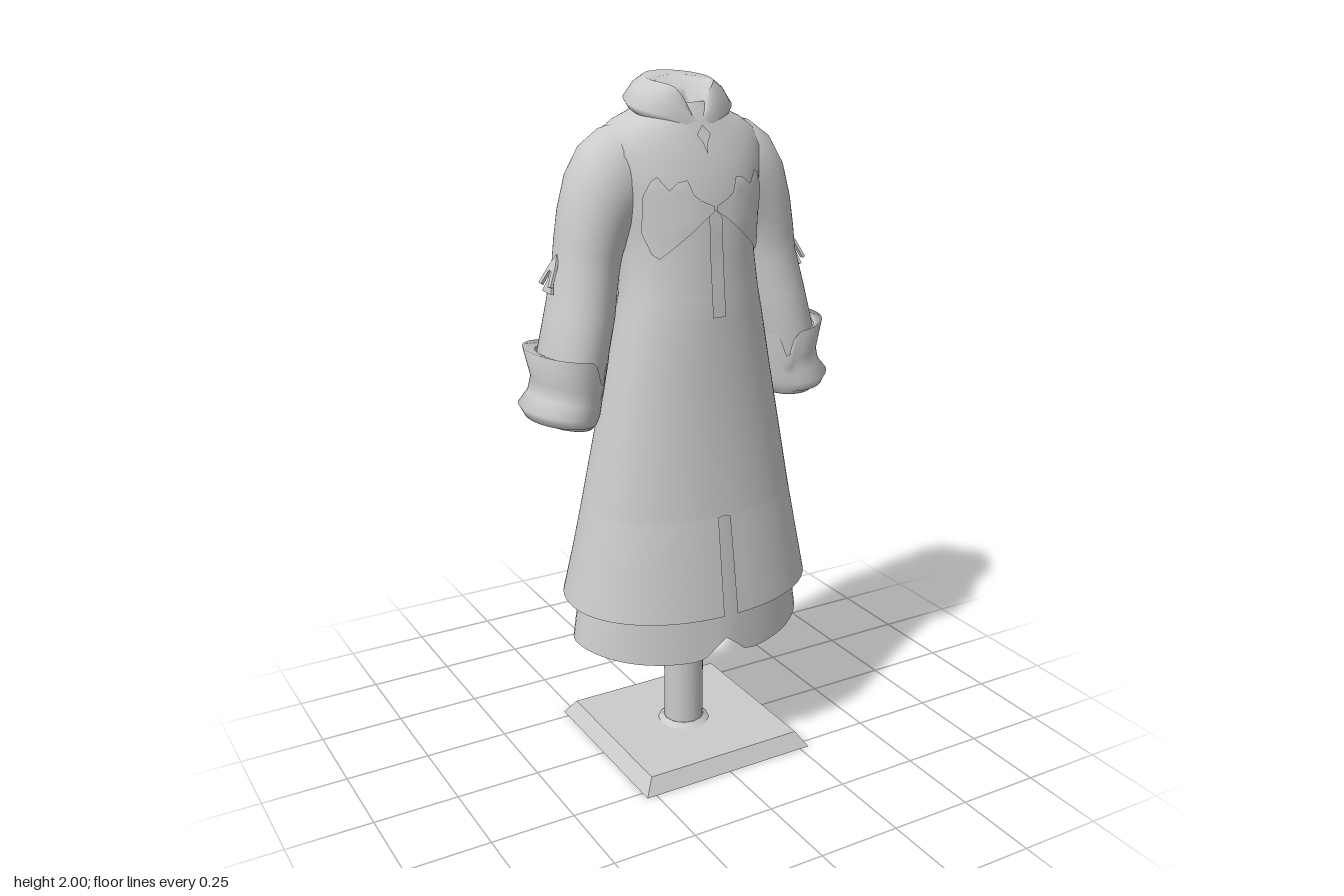
import * as THREE from 'three';
import { mergeVertices } from 'three/addons/utils/BufferGeometryUtils.js';

const material = new THREE.MeshStandardMaterial({ color: 0xcccccc, side: THREE.DoubleSide });
const flatMaterial = new THREE.MeshStandardMaterial({ color: 0xcccccc, flatShading: true });

// Coat cross-sections, bottom to top:
// y, half width, front z, back z, front roundness, back roundness, front gap
const COAT = [
  [0.53, 0.382, 0.274, -0.25, 2.1, 2.1, 0.05],
  [0.67, 0.352, 0.251, -0.222, 2.1, 2.1, 0.05],
  [0.8, 0.326, 0.231, -0.198, 2.1, 2.1, 0.05],
  [0.805, 0.325, 0.23, -0.197, 2.1, 2.1, 0],
  [1.0, 0.288, 0.207, -0.165, 2.1, 2.1, 0],
  [1.2, 0.248, 0.192, -0.14, 2.1, 2.1, 0],
  [1.35, 0.218, 0.187, -0.127, 2.1, 2.1, 0],
  [1.42, 0.204, 0.182, -0.124, 2.1, 2.1, 0],
  [1.52, 0.194, 0.171, -0.13, 2.1, 2.2, 0],
  [1.62, 0.199, 0.165, -0.142, 2.2, 2.5, 0],
  [1.72, 0.222, 0.15, -0.16, 2.2, 2.8, 0],
  [1.8, 0.24, 0.122, -0.17, 2.2, 2.8, 0],
  [1.85, 0.225, 0.1, -0.168, 2.1, 2.6, 0],
  [1.88, 0.185, 0.088, -0.163, 2, 2.3, 0],
  [1.905, 0.13, 0.075, -0.155, 2, 2, 0],
  [1.93, 0.09, 0.06, -0.13, 2, 2, 0],
];

// Skin a grid of rows of points, listed bottom to top
function loft(rows) {
  const n = rows[0].length, pos = rows.flat(2), index = [];
  for (let i = 0; i < rows.length - 1; i++)
    for (let j = 0; j < n - 1; j++) {
      const a = i * n + j, d = a + n;
      index.push(a, a + 1, d + 1, a, d + 1, d);
    }
  let g = new THREE.BufferGeometry();
  g.setAttribute('position', new THREE.Float32BufferAttribute(pos, 3));
  g.setIndex(index);
  g = mergeVertices(g, 1e-5);
  g.computeVertexNormals();
  return g;
}

// One ring starting at the front; fn maps (sin, cos) to a point
function ring(fn, seg = 48, gap = 0) {
  const pts = [];
  for (let j = 0; j <= seg; j++) {
    const t = gap + (j / seg) * (Math.PI * 2 - gap * 2);
    const s = j === seg && !gap ? 0 : Math.sin(t);
    pts.push(fn(s, Math.cos(t)));
  }
  return pts;
}

const bend = (v, p) => Math.sign(v) * Math.abs(v) ** (2 / p);

function bodyRing([y, hx, zf, zb, pFront, pBack, gap], hem) {
  return ring((s, c) => {
    const p = c > 0 ? pFront : pBack;
    const x = hx * bend(s, p);
    return [x, hem ? hem(x, c) : y, (zf + zb) / 2 + ((zf - zb) / 2) * bend(c, p)];
  }, 64, gap);
}

// Tilted sleeve ring: outer x, y, inner x, y, front z, back z; drop cuts a notch front and back
function sleeveRing([ox, oy, ix, iy, zf, zb], drop = 0) {
  return ring((s, c) => [
    (ox + ix) / 2 + (s * (ox - ix)) / 2,
    (oy + iy) / 2 + (s * (oy - iy)) / 2 - drop * Math.max(0, 1 - Math.abs(s + 0.45) / 0.22),
    (zf + zb) / 2 + (c * (zf - zb)) / 2,
  ]);
}

// Front surface depth of the coat at (x, y)
function coatZ(x, y) {
  let i = 0;
  while (i < COAT.length - 2 && COAT[i + 1][0] < y) i++;
  const a = COAT[i], b = COAT[i + 1], k = (y - a[0]) / (b[0] - a[0]);
  const [, hx, zf, zb, p] = a.map((v, n) => v + (b[n] - v) * k);
  const u = Math.min(1, Math.abs(x) / hx);
  return (zf + zb) / 2 + ((zf - zb) / 2) * (1 - u ** p) ** (1 / p);
}

// Thin layer lying on the coat front, from columns of x, bottom y, top y
function drape(columns, lift) {
  const rows = [];
  for (let i = 0; i <= 12; i++)
    rows.push(columns.map(([x, lo, hi]) => {
      const y = lo + ((hi - lo) * i) / 12;
      return [x, y, coatZ(x, y) + lift];
    }));
  return loft(rows);
}

function plate(points, depth) {
  const shape = new THREE.Shape(points.map(([x, y]) => new THREE.Vector2(x, y)));
  return new THREE.ExtrudeGeometry(shape, { depth, bevelEnabled: false });
}

function mirrored(geo) {
  const g = mergeVertices(geo.clone()).applyMatrix4(new THREE.Matrix4().makeScale(-1, 1, 1));
  const ix = g.index.array;
  for (let i = 0; i < ix.length; i += 3) [ix[i], ix[i + 1]] = [ix[i + 1], ix[i]];
  return g;
}

export function createModel() {
  const model = new THREE.Group();
  const add = (name, geo, mat = material) => {
    const m = new THREE.Mesh(geo, mat);
    m.name = name;
    model.add(m);
  };
  const addPair = (name, geo) => {
    add('left' + name, geo);
    add('right' + name, mirrored(geo));
  };

  // Stand
  add('base', new THREE.CylinderGeometry(0.25 * Math.SQRT2, 0.28 * Math.SQRT2, 0.045, 4)
    .rotateY(Math.PI / 4).translate(0, 0.0225, 0), flatMaterial);
  add('poleFoot', new THREE.CylinderGeometry(0.062, 0.08, 0.014, 12).translate(0, 0.051, 0));
  add('pole', new THREE.CylinderGeometry(0.06, 0.06, 1.3, 16).translate(0, 0.695, 0));

  // Coat with a front slit, and the longer scalloped skirt below it
  add('coat', loft(COAT.map((r, i) => bodyRing(r, i ? null : (x, c) => 0.528 - 0.015 * c))));
  const hem = (x) => 0.37 + 0.06 * Math.exp(-((x / 0.045) ** 2)) + 0.03 * (Math.abs(x) / 0.36) ** 4;
  add('innerSkirt', loft([
    bodyRing([0.385, 0.365, 0.25, -0.21, 1.9, 1.95, 0], hem),
    bodyRing([0.55, 0.343, 0.237, -0.198, 1.9, 1.95, 0]),
    bodyRing([0.85, 0.285, 0.205, -0.165, 1.9, 1.95, 0]),
  ]));

  // Turned-down collar with a V at the throat, filled just below its rim
  const collarRow = (hx, zf, zb, yFn) => ring((s, c) =>
    [hx * s, yFn(c), (zf + zb) / 2 + (c * (zf - zb)) / 2]);
  const vee = (c) => Math.max(0, c) ** 10;
  add('collar', loft([
    collarRow(0.1, 0.065, -0.13, (c) => 1.9 - 0.03 * c),
    collarRow(0.145, 0.086, -0.148, (c) => 1.908 - 0.035 * c - 0.025 * vee(c)),
    collarRow(0.155, 0.092, -0.157, (c) => 1.926 - 0.032 * c - 0.03 * vee(c)),
    collarRow(0.125, 0.084, -0.148, (c) => 1.965 - 0.02 * c - 0.055 * vee(c)),
    collarRow(0.092, 0.078, -0.136, (c) => 1.987 - 0.013 * c - 0.09 * vee(c)),
    collarRow(0.08, 0.07, -0.065, (c) => 1.98 - 0.012 * c - 0.095 * vee(c)),
    collarRow(0.074, 0.062, -0.055, (c) => 1.968 - 0.012 * c - 0.085 * vee(c)),
    collarRow(0, 0.002, 0.002, () => 1.965),
  ]));
  add('throatClasp', drape([[-0.02, 1.848, 1.852], [-0.008, 1.83, 1.864], [0, 1.8, 1.875], [0.008, 1.83, 1.864], [0.02, 1.848, 1.852]], 0.008));

  // Sleeves, closed at the wrist
  addPair('Sleeve', loft([
    [0.365, 1.07, 0.365, 1.07, -0.025, -0.025],
    [0.435, 1.08, 0.295, 1.062, 0.08, -0.13],
    [0.445, 1.1, 0.285, 1.075, 0.09, -0.14],
    [0.43, 1.27, 0.248, 1.24, 0.095, -0.145],
    [0.402, 1.39, 0.218, 1.36, 0.082, -0.14],
    [0.376, 1.5, 0.2, 1.46, 0.066, -0.14],
    [0.366, 1.58, 0.192, 1.5, 0.066, -0.144],
    [0.352, 1.66, 0.184, 1.53, 0.07, -0.15],
    [0.325, 1.755, 0.175, 1.55, 0.073, -0.155],
    [0.282, 1.825, 0.16, 1.57, 0.075, -0.16],
    [0.225, 1.865, 0.14, 1.59, 0.073, -0.16],
    [0.14, 1.885, 0.1, 1.62, 0.06, -0.15],
  ].map((r) => sleeveRing(r))));

  // Flared cuffs with a notch front and back
  addPair('Cuff', loft([
    sleeveRing([0.44, 1.1, 0.29, 1.07, 0.085, -0.135]),
    sleeveRing([0.47, 1.093, 0.282, 1.073, 0.095, -0.157]),
    sleeveRing([0.487, 1.125, 0.272, 1.095, 0.105, -0.17]),
    sleeveRing([0.458, 1.16, 0.264, 1.13, 0.094, -0.16], 0.01),
    sleeveRing([0.448, 1.2, 0.257, 1.165, 0.094, -0.158], 0.03),
    sleeveRing([0.467, 1.285, 0.24, 1.255, 0.106, -0.177], 0.09),
    sleeveRing([0.435, 1.275, 0.25, 1.24, 0.093, -0.15], 0.09),
  ]));

  // Petal ornaments flaring from the outer sleeves
  const petals = [
    ['UpperPetal', 0.45, 0.39, [[0, 0.06], [0.02, 0.025], [0.038, -0.03], [0.022, -0.032], [0.008, 0.01],
      [-0.008, 0.01], [-0.022, -0.032], [-0.038, -0.03], [-0.02, 0.025]]],
    ['LowerPetal', 0.3, 0.383, [[0.006, 0.04], [-0.006, 0.04], [-0.012, -0.015], [-0.028, -0.05], [0.028, -0.05], [0.012, -0.015]]],
  ];
  for (const [name, tilt, x, points] of petals)
    addPair(name, plate(points, 0.008).rotateY(Math.PI / 2).rotateZ(tilt).translate(x, 1.485, -0.035));

  // Pointed chest flaps and the front closing strip
  addPair('ChestFlap', drape([[0.003, 1.655, 1.668], [0.04, 1.63, 1.685], [0.06, 1.613, 1.7], [0.075, 1.6, 1.74],
    [0.1, 1.58, 1.735], [0.125, 1.557, 1.715], [0.15, 1.533, 1.75], [0.165, 1.545, 1.74], [0.183, 1.6, 1.7]], 0.014));
  add('closingStrip', drape([[-0.02, 1.37, 1.64], [0, 1.37, 1.66], [0.02, 1.37, 1.64]], 0.01));

  return model;
}
